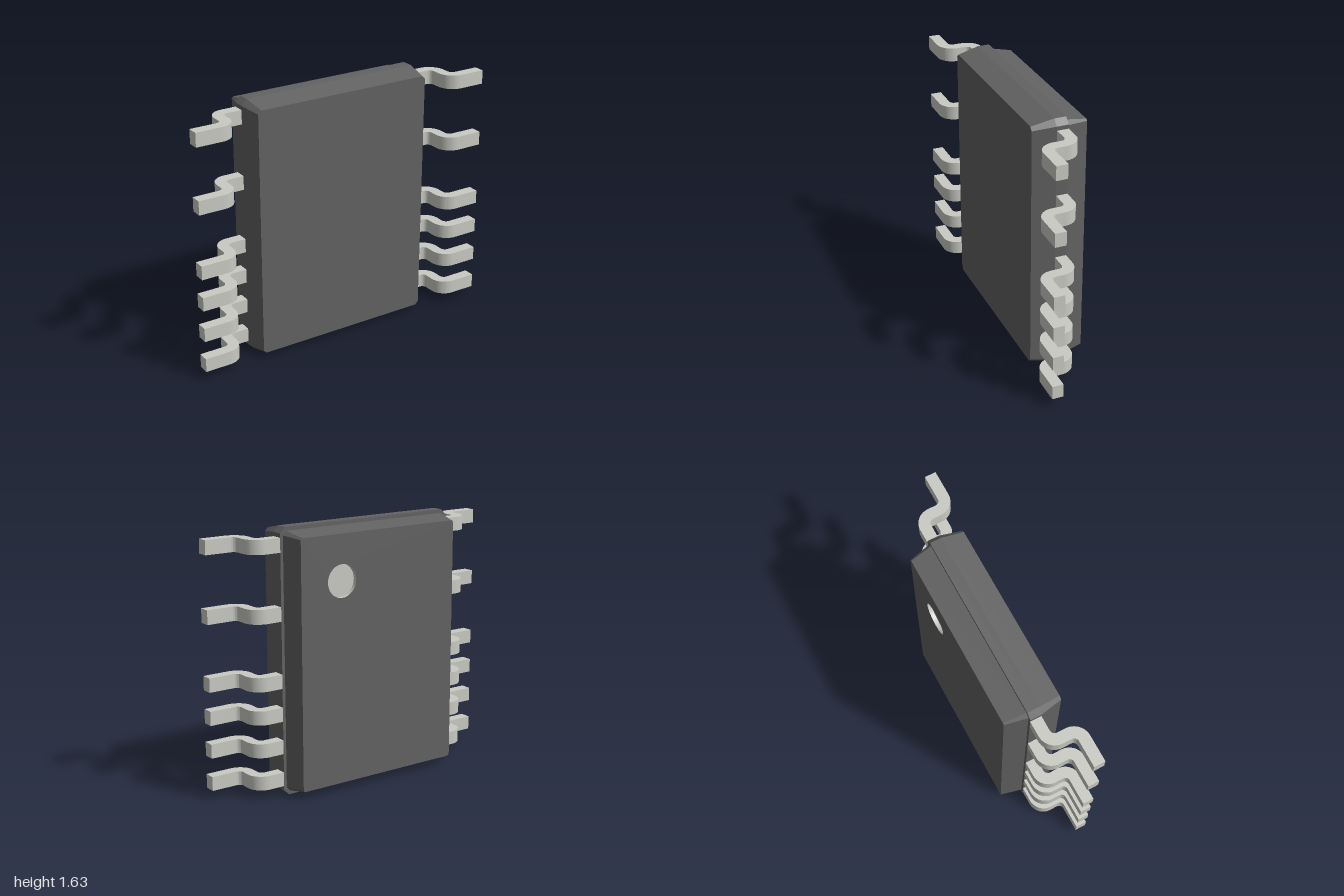
import * as THREE from 'three';
import { mergeGeometries, toCreasedNormals } from 'three/addons/utils/BufferGeometryUtils.js';

const MID = 0.816; // height of the body centre
const dark = new THREE.MeshStandardMaterial({ color: 0x626262, flatShading: true });
const metal = new THREE.MeshStandardMaterial({ color: 0xcacac4 });

// Rectangle with cut corners, counter-clockwise
function outline(w, h, c) {
  return [[w, -h + c], [w, h - c], [w - c, h], [-w + c, h],
    [-w, h - c], [-w, -h + c], [-w + c, -h], [w - c, -h]].map(([x, y]) => new THREE.Vector2(x, y));
}

// Flat walls joining sections [halfWidth, halfHeight, cornerCut, z], listed from back to front
function walls(sections) {
  const pos = [];
  for (let k = 0; k < sections.length - 1; k++) {
    const [a, b] = [sections[k], sections[k + 1]].map(([w, h, c, z]) =>
      outline(w, h, c).map((p) => [p.x, p.y, z]));
    for (let i = 0; i < 8; i++) {
      const j = (i + 1) % 8;
      pos.push(...a[i], ...a[j], ...b[j], ...a[i], ...b[j], ...b[i]);
    }
  }
  const g = new THREE.BufferGeometry();
  g.setAttribute('position', new THREE.Float32BufferAttribute(pos, 3));
  g.computeVertexNormals();
  return g;
}

// End face of a section; an optional hole is given as [x, y, radius]
function cap([w, h, c, z], back, hole) {
  const shape = new THREE.Shape(outline(w, h, c));
  if (hole) {
    const [x, y, r] = hole;
    shape.holes.push(new THREE.Path().absarc(back ? -x : x, y, r, 0, Math.PI * 2, true));
  }
  const g = new THREE.ShapeGeometry(shape, 16).toNonIndexed();
  if (back) g.rotateY(Math.PI);
  g.deleteAttribute('uv');
  return g.translate(0, 0, z);
}

function slab(name, sections, hole) {
  const mesh = new THREE.Mesh(mergeGeometries([
    walls(sections), cap(sections[0], true, hole), cap(sections[sections.length - 1], false),
  ]), dark);
  mesh.name = name;
  mesh.position.y = MID;
  return mesh;
}

// Gull-wing lead: bent strip in x and z, extruded along y
function leadGeometry() {
  const P = Math.PI, width = 0.087;
  const s = new THREE.Shape();
  s.moveTo(0.612, -0.057);
  s.lineTo(0.705, -0.057);
  s.absarc(0.705, 0.043, 0.1, -P / 2, 0, false);
  s.lineTo(0.805, 0.094);
  s.absarc(0.835, 0.094, 0.03, P, P / 2, true);
  s.lineTo(1, 0.124);
  s.lineTo(1, 0.194);
  s.lineTo(0.835, 0.194);
  s.absarc(0.835, 0.094, 0.1, P / 2, P, false);
  s.lineTo(0.735, 0.043);
  s.absarc(0.705, 0.043, 0.03, 0, -P / 2, true);
  s.lineTo(0.612, 0.013);
  const g = new THREE.ExtrudeGeometry(s, { depth: width, bevelEnabled: false, curveSegments: 8 });
  g.rotateX(P / 2).translate(0, width / 2, 0);
  return toCreasedNormals(g, 0.6);
}

export function createModel() {
  const model = new THREE.Group();
  model.name = 'chipPackage';

  // Moulded body in two tapered halves
  const hole = [0.275, 1.302 - MID, 0.101];
  model.add(slab('frontBody', [
    [0.612, 0.816, 0.035, -0.057], [0.612, 0.816, 0.035, 0.015], [0.583, 0.785, 0.02, 0.153],
  ]));
  model.add(slab('backBody', [
    [0.561, 0.766, 0.01, -0.194], [0.593, 0.793, 0.025, -0.057],
  ], hole));

  // Round marker recess: wall seen from inside, and floor
  const depth = 0.025;
  const wall = new THREE.CylinderGeometry(hole[2], hole[2], depth, 32, 1, true).rotateX(Math.PI / 2);
  const floor = new THREE.CircleGeometry(hole[2], 32).rotateY(Math.PI).translate(0, 0, depth / 2);
  const recess = new THREE.Mesh(mergeGeometries([wall, floor]), metal.clone());
  recess.material.side = THREE.DoubleSide;
  recess.name = 'markerRecess';
  recess.position.set(hole[0], hole[1] + MID, -0.194 + depth / 2);
  model.add(recess);

  // Leads: rows of an eight-place pitch with two places left empty
  const lead = leadGeometry();
  for (const side of ['left', 'right']) {
    const row = new THREE.Group();
    row.name = side + 'Leads';
    for (const place of [0, 1, 2, 3, 5, 7]) {
      const mesh = new THREE.Mesh(lead, metal);
      mesh.name = 'lead';
      mesh.position.y = 0.104 + place * 0.2035;
      if (side === 'right') mesh.rotation.z = Math.PI;
      row.add(mesh);
    }
    model.add(row);
  }
  return model;
}
